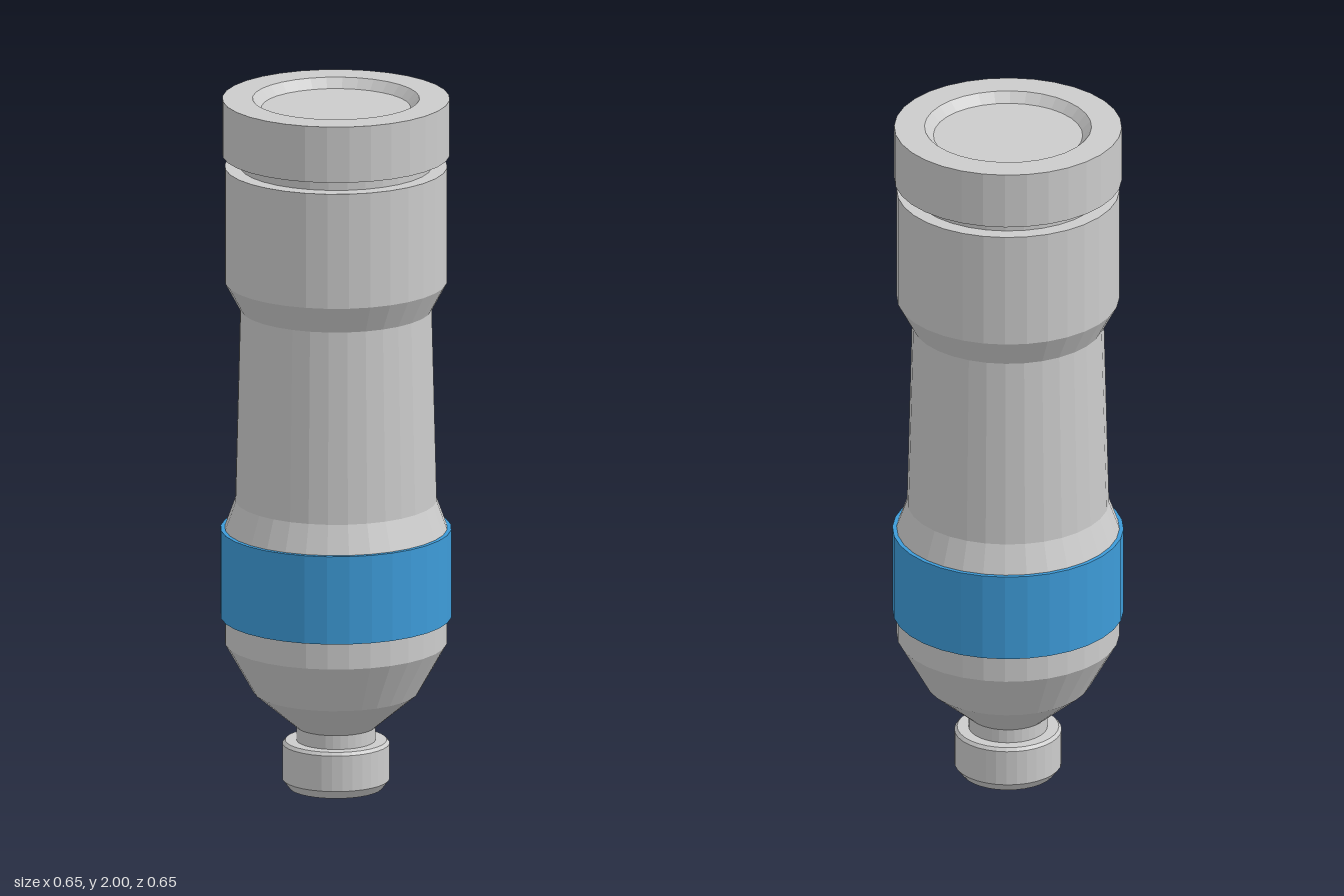
import * as THREE from 'three';

const SIDES = 32;

// Faceted solid of revolution; profile of [radius, height] runs from bottom to top
function turned(name, profile, material) {
  const points = profile.map(([r, y]) => new THREE.Vector2(r, y));
  const mesh = new THREE.Mesh(new THREE.LatheGeometry(points, SIDES), material);
  mesh.name = name;
  return mesh;
}

export function createModel() {
  const group = new THREE.Group();
  group.name = 'canister';
  const grey = new THREE.MeshStandardMaterial({ color: 0xcccccc, flatShading: true });
  const blue = new THREE.MeshStandardMaterial({ color: 0x3d9bd8, flatShading: true });

  // Bevelled foot button
  group.add(turned('foot', [
    [0, 0], [0.132, 0], [0.151, 0.025], [0.151, 0.128], [0.143, 0.137], [0, 0.137],
  ], grey));

  // Narrow neck between foot and body
  group.add(turned('neck', [[0.111, 0.13], [0.111, 0.18]], grey));

  // Body: funnel, lower drum, tapering waist and upper drum
  group.add(turned('body', [
    [0, 0.177], [0.111, 0.177], [0.233, 0.28], [0.313, 0.422], [0.313, 0.755],
    [0.284, 0.835], [0.27, 1.39], [0.313, 1.47], [0.313, 1.803], [0, 1.803],
  ], grey));

  // Coloured band around the lower drum
  group.add(turned('band', [
    [0.3, 0.498], [0.325, 0.498], [0.325, 0.753], [0.3, 0.753],
  ], blue));

  // Recessed groove under the cap
  group.add(turned('groove', [[0.27, 1.795], [0.27, 1.845]], grey));

  // Cap with a shallow dished top
  group.add(turned('cap', [
    [0, 1.838], [0.32, 1.838], [0.32, 2], [0.235, 2], [0.21, 1.973], [0, 1.973],
  ], grey));

  return group;
}
